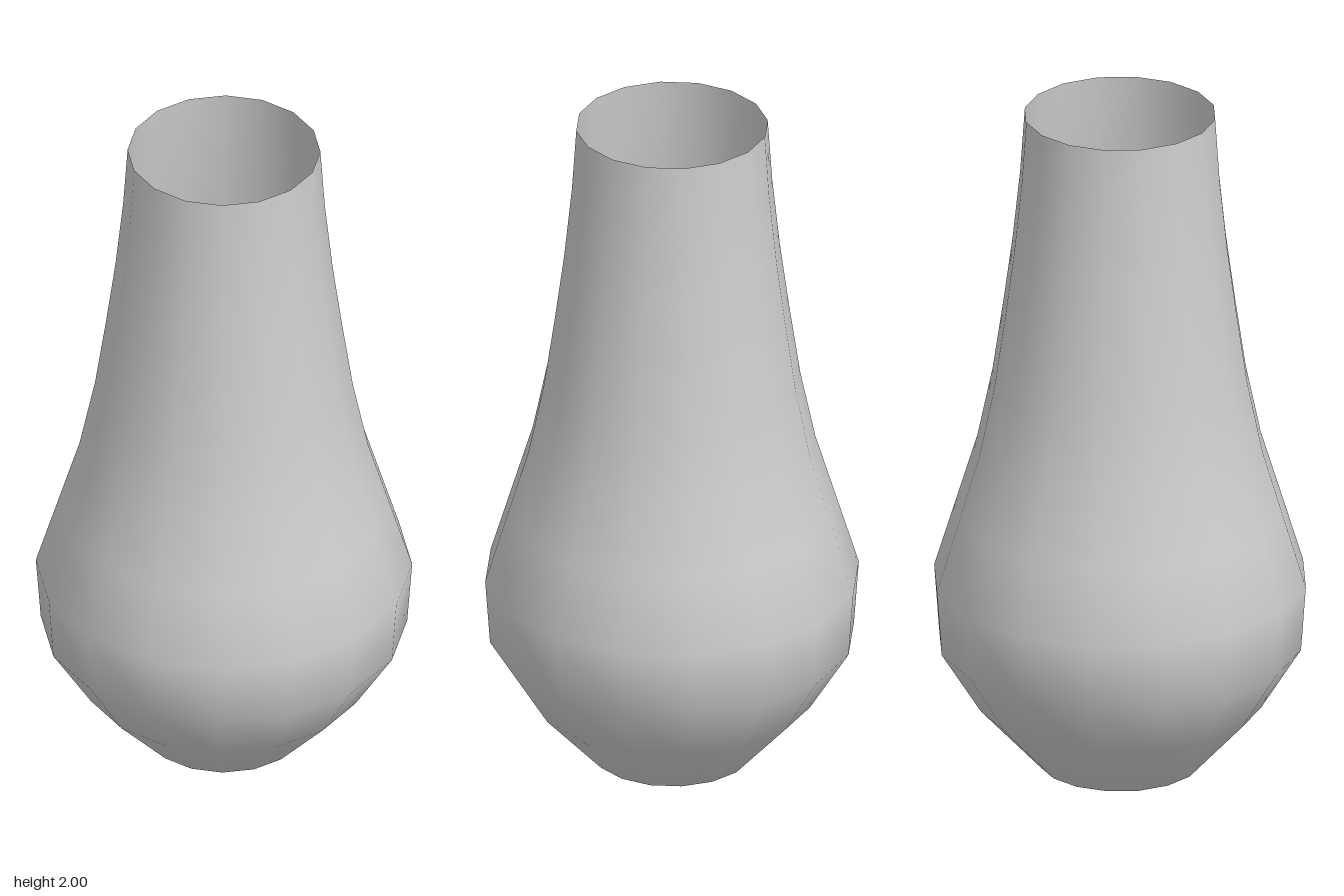
import * as THREE from 'three';

export function createModel() {
  const group = new THREE.Group();
  group.name = 'vase';

  // Wall profile as [radius, height], from the open foot to the open rim
  const profile = [
    [0.233, 0], [0.408, 0.19], [0.523, 0.375], [0.537, 0.57], [0.473, 0.78], [0.412, 0.98],
    [0.368, 1.19], [0.337, 1.4], [0.31, 1.6], [0.288, 1.81], [0.275, 2],
  ].map(([r, y]) => new THREE.Vector2(r, y));

  // Thin sixteen-sided body, open at both ends
  const body = new THREE.Mesh(
    new THREE.LatheGeometry(profile, 16),
    new THREE.MeshStandardMaterial({ color: 0xcccccc, side: THREE.DoubleSide })
  );
  body.name = 'vaseBody';
  group.add(body);
  return group;
}
